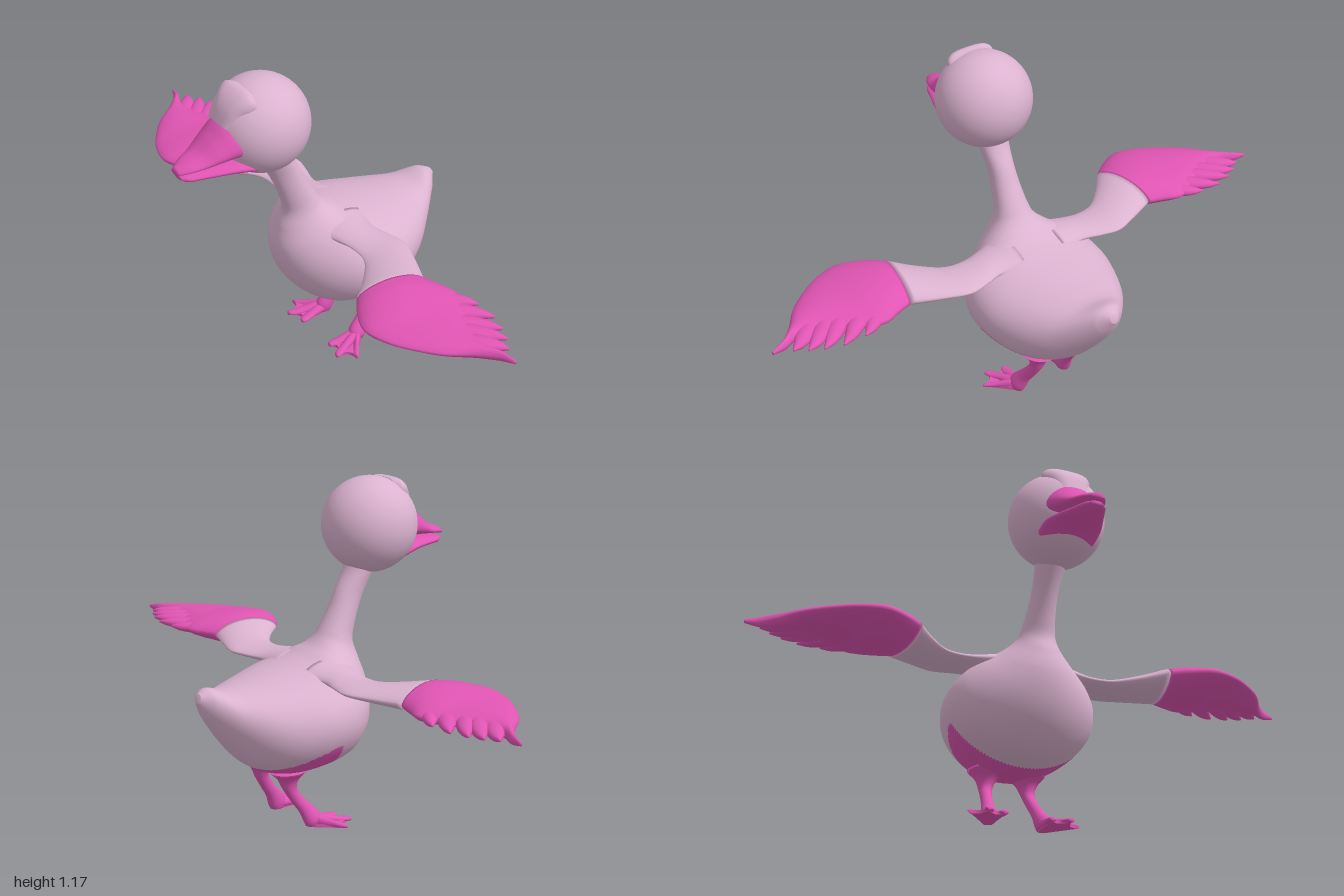
import * as THREE from 'three';

const mat = (name, color) => {
  const m = new THREE.MeshStandardMaterial({ color });
  m.name = name;
  return m;
};

const V = (p) => new THREE.Vector3(...p);

// Smooth closed skin through sections [edgePointA, edgePointB, halfWidth].
// The half width is measured along `axis`; `power` squares (<1) or sharpens (>1) the width profile.
function loft(sections, axis, { rows = 32, sides = 28, power = 1, shift = 0, taper = 0 } = {}) {
  const curveA = new THREE.CatmullRomCurve3(sections.map((s) => V(s[0])));
  const curveB = new THREE.CatmullRomCurve3(sections.map((s) => V(s[1])));
  const curveH = new THREE.CatmullRomCurve3(sections.map((s, i) => new THREE.Vector3(s[2], i, 0)));
  const side = V(axis), pos = [], index = [];
  for (let i = 0; i <= rows; i++) {
    const t = i / rows;
    const a = curveA.getPoint(t), b = curveB.getPoint(t), h = Math.max(0.001, curveH.getPoint(t).x);
    const mid = a.clone().add(b).multiplyScalar(0.5), u = a.clone().sub(b).multiplyScalar(0.5);
    for (let j = 0; j < sides; j++) {
      const ang = (j / sides) * Math.PI * 2, s = Math.sin(ang), c = Math.cos(ang);
      const w = Math.sign(c) * Math.pow(Math.abs(c), power) * h * (1 - taper * s);
      const p = mid.clone().addScaledVector(u, s + shift * c * c).addScaledVector(side, w);
      pos.push(p.x, p.y, p.z);
    }
  }
  for (let i = 0; i < rows; i++) for (let j = 0; j < sides; j++) {
    const a = i * sides + j, b = i * sides + ((j + 1) % sides);
    index.push(a, b, a + sides, b, b + sides, a + sides);
  }
  // end caps
  [0, rows].forEach((r) => {
    const centre = pos.length / 3, sum = [0, 0, 0];
    for (let j = 0; j < sides; j++) for (let k = 0; k < 3; k++) sum[k] += pos[(r * sides + j) * 3 + k] / sides;
    pos.push(...sum);
    for (let j = 0; j < sides; j++) {
      const a = r * sides + j, b = r * sides + ((j + 1) % sides);
      if (r === 0) index.push(centre, b, a); else index.push(centre, a, b);
    }
  });
  // turn the skin outward using its signed volume
  const at = (i) => new THREE.Vector3().fromArray(pos, i * 3);
  let volume = 0;
  for (let i = 0; i < index.length; i += 3) volume += at(index[i]).dot(at(index[i + 1]).cross(at(index[i + 2])));
  if (volume < 0) for (let i = 0; i < index.length; i += 3) [index[i], index[i + 1]] = [index[i + 1], index[i]];
  const g = new THREE.BufferGeometry();
  g.setAttribute('position', new THREE.Float32BufferAttribute(pos, 3));
  g.setIndex(index);
  g.computeVertexNormals();
  return g;
}

// Reorders faces into two material groups: inside(centre) picks the second
function splitFaces(g, inside) {
  const p = g.attributes.position, src = g.index.array, parts = [[], []];
  for (let i = 0; i < src.length; i += 3) {
    const f = [src[i], src[i + 1], src[i + 2]];
    const y = f.reduce((s, k) => s + p.getY(k), 0) / 3, z = f.reduce((s, k) => s + p.getZ(k), 0) / 3;
    parts[inside(y, z) ? 1 : 0].push(...f);
  }
  g.setIndex([...parts[0], ...parts[1]]);
  g.addGroup(0, parts[0].length, 0);
  g.addGroup(parts[0].length, parts[1].length, 1);
  return g;
}

export function createModel() {
  const model = new THREE.Group();
  const plumage = mat('pale pink plumage', 0xdbb3d0);
  const pink = mat('bright pink', 0xe055b3);
  const add = (parent, name, geometry, material) => {
    const m = new THREE.Mesh(geometry, material);
    m.name = name;
    parent.add(m);
    return m;
  };
  // section in the side plane: top/back point and bottom/front point as (z, y)
  const yz = (az, ay, bz, by, h, x = 0) => [[x, ay, az], [x, by, bz], h];
  const X = [1, 0, 0], Y = [0, 1, 0];

  // tail, body and neck in one skin, with a bright belly patch
  const body = loft([
    yz(-0.525, 0.54, -0.535, 0.51, 0.015), yz(-0.49, 0.552, -0.505, 0.45, 0.055),
    yz(-0.42, 0.533, -0.42, 0.335, 0.125), yz(-0.34, 0.537, -0.34, 0.25, 0.19),
    yz(-0.26, 0.548, -0.25, 0.204, 0.235), yz(-0.19, 0.56, -0.13, 0.197, 0.263),
    yz(-0.14, 0.572, 0, 0.22, 0.263), yz(-0.1, 0.585, 0.08, 0.285, 0.238),
    yz(-0.07, 0.6, 0.13, 0.37, 0.19), yz(-0.045, 0.615, 0.15, 0.47, 0.125),
    yz(-0.02, 0.64, 0.135, 0.55, 0.078), yz(0, 0.67, 0.117, 0.61, 0.06),
    yz(0.035, 0.73, 0.13, 0.67, 0.05), yz(0.065, 0.79, 0.165, 0.76, 0.045),
    yz(0.1, 0.85, 0.215, 0.85, 0.052), yz(0.12, 0.9, 0.25, 0.9, 0.06),
  ], X, { rows: 180, sides: 128, shift: 0.12 });
  splitFaces(body, (y, z) => z < -0.08 - 0.25 * (y - 0.2) && y < 0.335 && y < 0.335 + 0.5 * (z + 0.14));
  add(model, 'bodyAndNeck', body, [plumage, pink]);

  // head
  add(model, 'head', new THREE.SphereGeometry(0.167, 48, 32), plumage).position.set(0, 1.005, 0.207);
  add(model, 'foreheadPlate', loft([
    yz(0.375, 1.03, 0.33, 1.0, 0.055), yz(0.365, 1.065, 0.3, 1.04, 0.058),
    yz(0.347, 1.112, 0.28, 1.06, 0.07), yz(0.32, 1.146, 0.27, 1.08, 0.086),
    yz(0.292, 1.163, 0.26, 1.1, 0.088), yz(0.268, 1.162, 0.25, 1.11, 0.06),
  ], X, { power: 0.6 }), plumage);

  // beak
  add(model, 'upperBeak', loft([
    yz(0.28, 1.04, 0.28, 0.915, 0.1), yz(0.35, 1.065, 0.33, 0.945, 0.095),
    yz(0.4, 1.025, 0.4, 0.945, 0.078), yz(0.45, 0.982, 0.45, 0.94, 0.06),
    yz(0.5, 0.962, 0.5, 0.934, 0.042), yz(0.535, 0.947, 0.535, 0.927, 0.02),
  ], X, { power: 0.75, taper: 0.28 }), pink);
  add(model, 'lowerBeak', loft([
    yz(0.27, 0.925, 0.28, 0.878, 0.105), yz(0.34, 0.942, 0.34, 0.895, 0.102),
    yz(0.4, 0.937, 0.4, 0.9, 0.082), yz(0.46, 0.93, 0.46, 0.899, 0.058),
    yz(0.505, 0.925, 0.505, 0.9, 0.04), yz(0.525, 0.92, 0.525, 0.908, 0.02),
  ], X, { power: 0.75 }), pink);

  for (const s of [1, -1]) {
    const label = s > 0 ? 'left' : 'right';

    // wing: chord from leading to trailing edge, given as (x, z)
    const wing = new THREE.Group();
    wing.name = label + 'Wing';
    model.add(wing);
    const xz = (ax, az, bx, bz, h) => [[s * ax, 0.542, az], [s * bx, 0.542, bz], h];
    add(wing, 'wingArm', loft([
      xz(0.08, 0.05, 0.08, -0.16, 0.045), xz(0.17, 0.015, 0.17, -0.135, 0.03),
      xz(0.24, 0.0, 0.24, -0.152, 0.022), xz(0.31, 0.01, 0.31, -0.165, 0.023),
      xz(0.385, 0.07, 0.4, -0.135, 0.032), xz(0.46, 0.155, 0.505, -0.09, 0.047),
    ], Y, { power: 1.25 }), plumage);
    add(wing, 'wingBlade', loft([
      xz(0.46, 0.155, 0.505, -0.09, 0.047), xz(0.515, 0.195, 0.56, -0.108, 0.053),
      xz(0.6, 0.232, 0.62, -0.13, 0.048), xz(0.69, 0.21, 0.68, -0.115, 0.037),
      xz(0.77, 0.16, 0.75, -0.075, 0.032), xz(0.84, 0.1, 0.82, -0.045, 0.027),
      xz(0.9, 0.02, 0.89, -0.028, 0.023), xz(0.95, -0.028, 0.945, -0.05, 0.018),
      xz(0.997, -0.05, 0.993, -0.058, 0.006),
    ], Y, { rows: 48, power: 1.25 }), pink);
    // feathers along the trailing edge
    const feathers = [[0.58, -0.03, 0.71, -0.148], [0.64, -0.02, 0.79, -0.148], [0.71, -0.005, 0.85, -0.13],
      [0.76, 0.0, 0.895, -0.108], [0.82, 0.01, 0.935, -0.08]];
    feathers.forEach(([rx, rz, tx, tz], i) => {
      const len = Math.hypot(tx - rx, tz - rz), nx = -(tz - rz) / len, nz = (tx - rx) / len;
      const cut = (t, w, h, bend) => {
        const x = rx + (tx - rx) * t - nx * bend, z = rz + (tz - rz) * t - nz * bend;
        return xz(x + nx * w, z + nz * w, x - nx * w, z - nz * w, h);
      };
      add(wing, 'feather' + (i + 1), loft([
        cut(0, 0.03, 0.022, 0), cut(0.5, 0.03, 0.02, 0.004), cut(0.8, 0.018, 0.014, 0.005), cut(1, 0.003, 0.004, 0),
      ], Y, { rows: 12, sides: 16 }), pink);
    });

    // leg
    const leg = new THREE.Group();
    leg.name = label + 'Leg';
    model.add(leg);
    add(leg, 'shank', loft([
      yz(-0.29, 0.225, -0.14, 0.225, 0.065, s * 0.075), yz(-0.255, 0.192, -0.177, 0.192, 0.038, s * 0.076),
      yz(-0.238, 0.155, -0.187, 0.158, 0.024, s * 0.079), yz(-0.208, 0.105, -0.165, 0.12, 0.02, s * 0.085),
      yz(-0.178, 0.06, -0.13, 0.08, 0.022, s * 0.093), yz(-0.162, 0.02, -0.1, 0.045, 0.028, s * 0.1),
      yz(-0.155, 0.006, -0.1, 0.01, 0.022, s * 0.1),
    ], X), pink);

    // toes spreading from the ankle, joined by a thin web
    const tips = [[0.085, -0.015], [0.15, 0.0], [0.195, -0.055]];
    tips.forEach(([x, z], i) => {
      const at = (t, top, h) => {
        const cx = s * (0.1 + (x - 0.1) * t), cz = -0.13 + (z + 0.13) * t;
        return [[cx, top, cz], [cx, 0.004, cz], h];
      };
      add(leg, 'toe' + (i + 1), loft([
        at(0, 0.05, 0.024), at(0.45, 0.034, 0.017), at(0.8, 0.022, 0.017), at(0.97, 0.018, 0.012), at(1, 0.012, 0.004),
      ], X, { rows: 14, sides: 16 }), pink);
    });
    const web = new THREE.Shape();
    web.moveTo(s * 0.085, 0.14);
    web.lineTo(s * tips[0][0], -tips[0][1]);
    web.quadraticCurveTo(s * 0.112, 0.06, s * tips[1][0], -tips[1][1]);
    web.quadraticCurveTo(s * 0.15, 0.06, s * tips[2][0], -tips[2][1]);
    web.lineTo(s * 0.11, 0.145);
    const webGeometry = new THREE.ExtrudeGeometry(web, { depth: 0.012, bevelEnabled: false });
    webGeometry.rotateX(-Math.PI / 2).translate(0, 0.003, 0);
    add(leg, 'web', webGeometry, pink);
  }

  return model;
}
